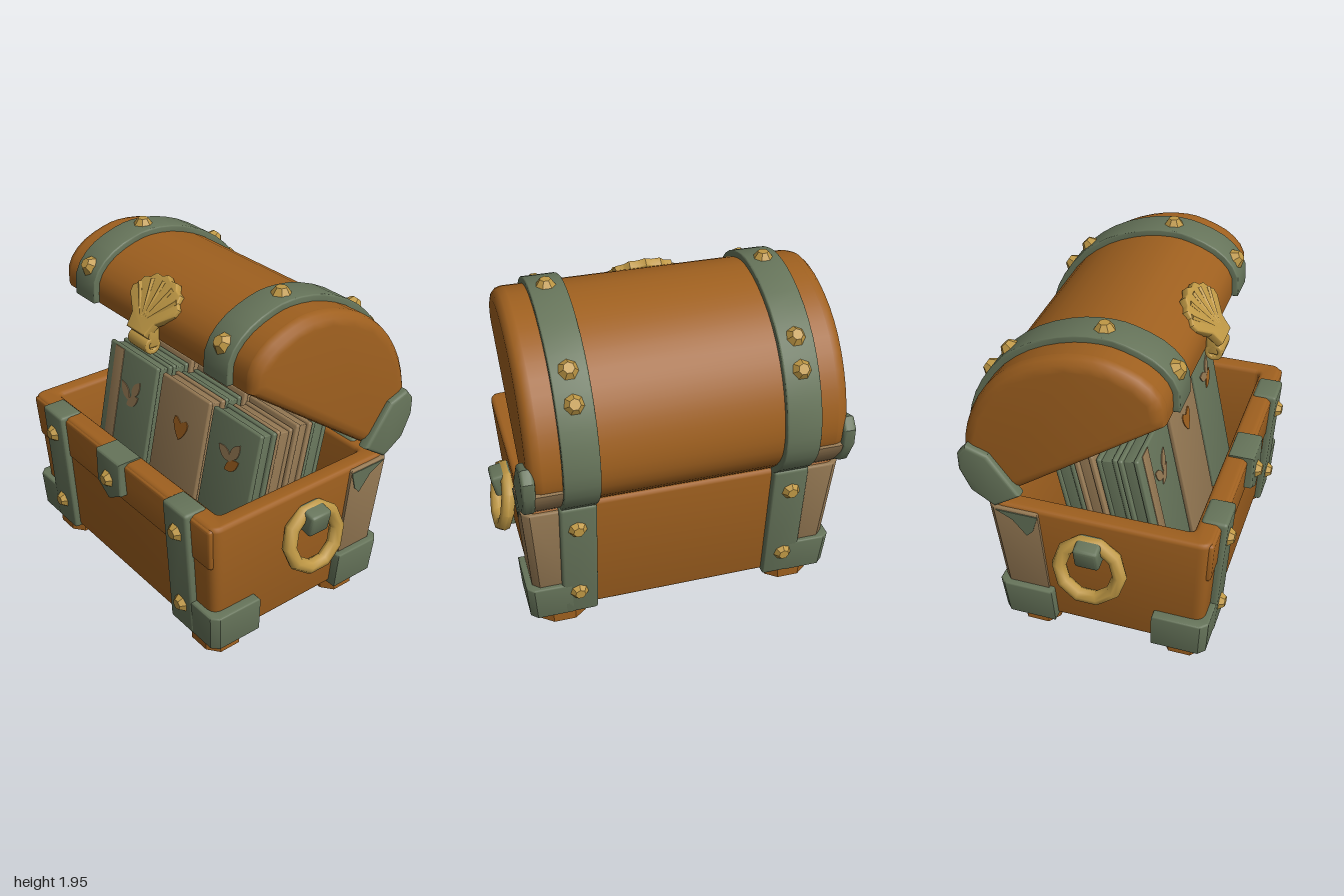
import * as THREE from 'three';
import { toCreasedNormals } from 'three/addons/utils/BufferGeometryUtils.js';
import { RoundedBoxGeometry } from 'three/addons/geometries/RoundedBoxGeometry.js';

const mat = (name, color) => Object.assign(new THREE.MeshStandardMaterial({ color }), { name });
const wood = mat('wood', 0x9f601f);
const metal = mat('greenMetal', 0x66745a);
const gold = mat('gold', 0xbf9845);
const tan = mat('tan', 0x947853);

const V2 = (x, y) => new THREE.Vector2(x, y);
const points = list => list.map(p => V2(...p));

function add(parent, name, geo, material, crease = 0.6) {
  const mesh = new THREE.Mesh(toCreasedNormals(geo, crease), material);
  mesh.name = name;
  parent.add(mesh);
  return mesh;
}

// rounded box given by its limits
function block(x0, x1, y0, y1, z0, z1, r = 0.02) {
  const g = new RoundedBoxGeometry(x1 - x0, y1 - y0, z1 - z0, 2, r);
  return g.translate((x0 + x1) / 2, (y0 + y1) / 2, (z0 + z1) / 2);
}

function extrude(shape, depth, bevel) {
  return new THREE.ExtrudeGeometry(shape, {
    depth: depth - 2 * bevel, bevelEnabled: bevel > 0, bevelThickness: bevel,
    bevelSize: bevel, bevelOffset: -bevel, bevelSegments: 3, curveSegments: 8,
  }).translate(0, 0, bevel);
}

// side outline of (z, y) points swept along x
function sweepX(pts, x0, x1, bevel = 0) {
  const shape = new THREE.Shape(pts.map(p => V2(-p.x, p.y)));
  return extrude(shape, x1 - x0, bevel).rotateY(Math.PI / 2).translate(x0, 0, 0);
}

// plan outline of (x, -z) points swept up y
const sweepY = (shape, y0, y1, bevel) =>
  extrude(shape, y1 - y0, bevel).rotateX(-Math.PI / 2).translate(0, y0, 0);

// the case narrows towards its foot, most of all at the back
function taperZ(z, y) {
  return 0.03 + (z - 0.03) * (1 - (z > 0.03 ? 0.07 : 0.12) * (0.9 - y) / 0.8);
}
function taper(geo, xAmount = 0.055) {
  const p = geo.attributes.position;
  for (let i = 0; i < p.count; i++) {
    p.setX(i, p.getX(i) * (1 - xAmount * (0.9 - p.getY(i)) / 0.8));
    p.setZ(i, taperZ(p.getZ(i), p.getY(i)));
  }
  geo.computeVertexNormals();
  return geo;
}

function roundedRect(path, x, z0, z1, r) {
  const a = -z1, b = -z0;
  path.moveTo(-x + r, a);
  path.lineTo(x - r, a); path.quadraticCurveTo(x, a, x, a + r);
  path.lineTo(x, b - r); path.quadraticCurveTo(x, b, x - r, b);
  path.lineTo(-x + r, b); path.quadraticCurveTo(-x, b, -x, b - r);
  path.lineTo(-x, a + r); path.quadraticCurveTo(-x, a, -x + r, a);
  return path;
}

// faceted rivet pointing along (0, ny, nz)
function rivet(parent, x, y, z, ny, nz) {
  const m = add(parent, 'rivet', new THREE.CylinderGeometry(0.03, 0.062, 0.045, 7), gold, 0.2);
  m.position.set(x, y, z);
  m.quaternion.setFromUnitVectors(new THREE.Vector3(0, 1, 0), new THREE.Vector3(0, ny, nz).normalize());
}

function buildCase() {
  const g = new THREE.Group();
  g.name = 'case';
  const wall = roundedRect(new THREE.Shape(), 0.885, -0.565, 0.655, 0.07);
  wall.holes.push(roundedRect(new THREE.Path(), 0.775, -0.46, 0.535, 0.03));
  add(g, 'caseWalls', taper(sweepY(wall, 0.11, 0.9, 0.025)), wood);
  add(g, 'caseFloor', block(-0.8, 0.8, 0.105, 0.2, -0.46, 0.58, 0.01), wood);
  add(g, 'frontBoard', taper(block(-0.865, 0.865, 0.625, 0.89, 0.57, 0.664, 0.02)), wood);

  // L-shaped cover round a vertical corner
  const corner = (name, s, zEdge, zOut, xIn, xOut, y0, y1, material) => {
    const d = Math.sign(zOut) * 0.09, c = Math.sign(zOut) * 0.04;
    const pts = [[xIn, zOut], [xOut - 0.04, zOut], [xOut, zOut - c], [xOut, zEdge],
      [xOut - 0.09, zEdge], [xOut - 0.09, zOut - d], [xIn, zOut - d]];
    const shape = new THREE.Shape(pts.map(([x, z]) => V2(x * s, -z)));
    add(g, name, taper(sweepY(shape, y0, y1, 0.012)), material);
  };

  for (const s of [-1, 1]) {
    const span = (a, b) => (s > 0 ? [a, b] : [-b, -a]);
    add(g, 'frontBand', taper(block(...span(0.5, 0.705), 0.1, 0.91, 0.55, 0.695), 0), metal);
    add(g, 'backBand', taper(block(...span(0.5, 0.705), 0.1, 0.91, -0.61, -0.48), 0), metal);
    add(g, 'bottomBand', block(...span(0.62, 0.7), 0.095, 0.12, -0.46, 0.56, 0.005), metal);
    corner('frontCornerBracket', s, 0.36, 0.69, 0.68, 0.94, 0.1, 0.33, metal);
    corner('backCornerBracket', s, -0.26, -0.61, 0.68, 0.94, 0.1, 0.33, metal);
    corner('backCornerPost', s, -0.29, -0.582, 0.68, 0.902, 0.32, 0.885, tan);
    // pointed patch at the head of the corner post
    const patch = points([[-0.29, 0.87], [-0.33, 0.76], [-0.37, 0.72], [-0.44, 0.82], [-0.53, 0.87]]);
    add(g, 'postPatch', taper(sweepX(patch, ...span(0.88, 0.907))), metal);
    for (const y of [0.27, 0.76]) {
      rivet(g, s * 0.61, y, taperZ(0.705, y), 0, 1);
      rivet(g, s * 0.61, y, taperZ(-0.62, y), 0, -1);
    }
    // feet
    for (const z of [0.485, -0.365]) {
      const foot = new THREE.CylinderGeometry(0.18, 0.165, 0.11, 8, 1).rotateY(Math.PI / 8);
      const p = foot.attributes.position;
      for (let i = 0; i < p.count; i++) {
        p.setX(i, THREE.MathUtils.clamp(p.getX(i), -0.13, 0.13));
        p.setZ(i, THREE.MathUtils.clamp(p.getZ(i), -0.115, 0.115));
      }
      add(g, 'foot', foot.translate(s * 0.69, 0.055, z), wood);
    }
    // ring handle and its holder
    const ring = add(g, 'handleRing', new THREE.TorusGeometry(0.172, 0.041, 8, 10).rotateY(Math.PI / 2), gold, 0.9);
    ring.position.set(s * 0.93, 0.605, 0.005);
    ring.rotation.z = s * 0.2;
    const holder = add(g, 'handleHolder', block(-0.065, 0.065, -0.07, 0.07, -0.07, 0.07, 0.02), metal);
    holder.position.set(s * 0.92, 0.725, 0.005);
    holder.rotation.z = -s * 0.2;
  }

  // clasp plate
  const clasp = new THREE.Shape(points([[-0.12, 0.91], [-0.12, 0.7], [-0.01, 0.63], [0.11, 0.7], [0.11, 0.91]]));
  add(g, 'claspPlate', extrude(clasp, 0.15, 0.012).translate(0, 0, 0.55), metal);
  rivet(g, -0.01, 0.765, 0.71, 0, 1);
  return g;
}

function buildLid() {
  const g = new THREE.Group();
  g.name = 'lid';
  const curve = new THREE.SplineCurve(points([[0.385, 1.565], [0.375, 1.7], [0.28, 1.805], [0.13, 1.868],
    [0, 1.885], [-0.17, 1.86], [-0.36, 1.78], [-0.52, 1.65], [-0.64, 1.47], [-0.7, 1.28], [-0.7, 1.12],
    [-0.64, 1], [-0.54, 0.9]]));
  const at = (t, d) => {
    const p = curve.getPoint(t), n = curve.getTangent(t);
    return V2(p.x + n.y * d, p.y - n.x * d);
  };
  const arc = (d, t0 = 0) => Array.from({ length: 29 }, (_, i) => at(t0 + (1 - t0) * i / 28, d));
  const strip = (outer, inner, t0) => [...arc(outer, t0), ...arc(inner, t0).reverse()];

  add(g, 'lidShell', sweepX(strip(0, -0.08), -0.797, 0.797), wood);
  for (const s of [-1, 1]) {
    const span = (a, b) => (s > 0 ? [a, b] : [-b, -a]);
    add(g, 'lidEnd', sweepX(arc(0), ...span(0.73, 0.868), 0.065), wood, 0.7);
    add(g, 'lidBand', sweepX(strip(0.035, -0.03), ...span(0.5, 0.695), 0.008), metal);
    add(g, 'hingeStrip', sweepX(strip(0.015, -0.03, 0.84), ...span(0.69, 0.86)), tan);
    const hinge = points([[-0.38, 0.99], [-0.55, 1.22], [-0.67, 1.26], [-0.72, 1.2], [-0.72, 1.1],
      [-0.66, 0.97], [-0.53, 0.89]]);
    add(g, 'hingeCap', sweepX(hinge, ...span(0.835, 0.908), 0.02), metal);
    for (const t of [0.11, 0.33, 0.565, 0.63]) {
      const p = at(t, 0.045), q = at(t, 1);
      rivet(g, s * 0.6, p.y, p.x, q.y - p.y, q.x - p.x);
    }
  }

  // scallop shell ornament with low ribs
  const shell = new THREE.Group();
  shell.name = 'shellOrnament';
  const outline = [V2(-0.08, -0.02), V2(-0.1, 0.06)];
  for (let i = 0; i <= 14; i++) {
    const a = Math.PI * (0.97 - 0.94 * i / 14), r = i % 2 ? 0.208 : 0.19;
    outline.push(V2(Math.cos(a) * r * 1.05, 0.13 + Math.sin(a) * r * 0.92));
  }
  outline.push(V2(0.1, 0.06), V2(0.08, -0.02));
  add(shell, 'shellPlate', extrude(new THREE.Shape(outline), 0.05, 0.01), gold);
  for (let i = -2; i <= 2; i++) {
    const rib = add(shell, 'shellRib', new THREE.CylinderGeometry(0.018, 0.006, 0.24, 6).translate(0, 0.13, 0), gold);
    rib.position.set(0, 0.03, 0.043);
    rib.rotation.z = -i * 0.36;
  }
  shell.position.set(-0.005, 1.6, 0.435);
  shell.rotation.x = -0.72;
  g.add(shell);
  add(g, 'shellStem', block(-0.085, 0.085, 1.53, 1.66, 0.385, 0.455, 0.015), gold);
  const loop = new THREE.Shape().absarc(0, 0, 0.05, 0, Math.PI * 2);
  loop.holes.push(new THREE.Path().absarc(0, 0, 0.022, 0, Math.PI * 2));
  add(g, 'claspLoop', extrude(loop, 0.17, 0.008).rotateY(Math.PI / 2).translate(-0.085, 1.545, 0.43), gold);
  return g;
}

function buildBooks() {
  const g = new THREE.Group();
  g.name = 'books';
  g.position.set(0, 0.9, 0.265);
  g.rotation.x = -0.2;
  const stacks = [
    [-0.69, -0.21, [metal, metal, tan, metal]],
    [-0.16, 0.28, [tan, metal, tan, tan]],
    [0.31, 0.71, [metal, tan, tan, metal]],
  ];
  for (const [x0, x1, covers] of stacks) {
    covers.forEach((cover, i) => {
      const z = -i * 0.125, k = (i % 2) * 0.012, top = 0.31 - k + i * 0.012;
      add(g, 'bookFront', block(x0 + k, x1 - k, -0.62, top, z - 0.03, z, 0.012), cover);
      add(g, 'bookBack', block(x0 + k, x1 - k, -0.62, top, z - 0.12, z - 0.09, 0.012), cover);
      add(g, 'bookPages', block(x0 + 0.02, x1 - 0.02, -0.6, top - 0.015, z - 0.1, z - 0.02, 0.005), cover);
    });
  }
  const decal = (name, shape, x, y, rot, material) => {
    const m = add(g, name, extrude(shape, 0.006, 0), material);
    m.position.set(x, y, -0.001);
    m.rotation.z = rot;
  };
  const leaf = new THREE.Shape();
  leaf.moveTo(0, -0.06);
  leaf.quadraticCurveTo(0.06, 0, 0, 0.07);
  leaf.quadraticCurveTo(-0.06, 0, 0, -0.06);
  const heart = new THREE.Shape();
  heart.moveTo(0, -0.07);
  heart.bezierCurveTo(0.05, -0.03, 0.09, 0.06, 0.04, 0.06);
  heart.lineTo(0, 0.035);
  heart.lineTo(-0.04, 0.06);
  heart.bezierCurveTo(-0.09, 0.06, -0.05, -0.03, 0, -0.07);
  for (const [x, y, r] of [[-0.38, 0.1, -0.5], [-0.47, 0.06, 0.8], [-0.4, 0.02, -0.9]]) decal('leaf', leaf, x, y, r, tan);
  decal('leaf', leaf, 0.54, 0.13, -0.5, tan);
  decal('leaf', leaf, 0.47, 0.1, 1.1, tan);
  decal('leaf', leaf, 0.53, 0.05, -0.9, wood);
  decal('heart', heart, 0.07, 0.06, 0, wood);
  add(g, 'bookStripe', block(-0.63, -0.54, -0.6, 0.3, -0.003, 0.004, 0.002), tan);
  return g;
}

export function createModel() {
  const model = new THREE.Group();
  model.name = 'treasureChest';
  model.add(buildCase(), buildLid(), buildBooks());
  return model;
}
